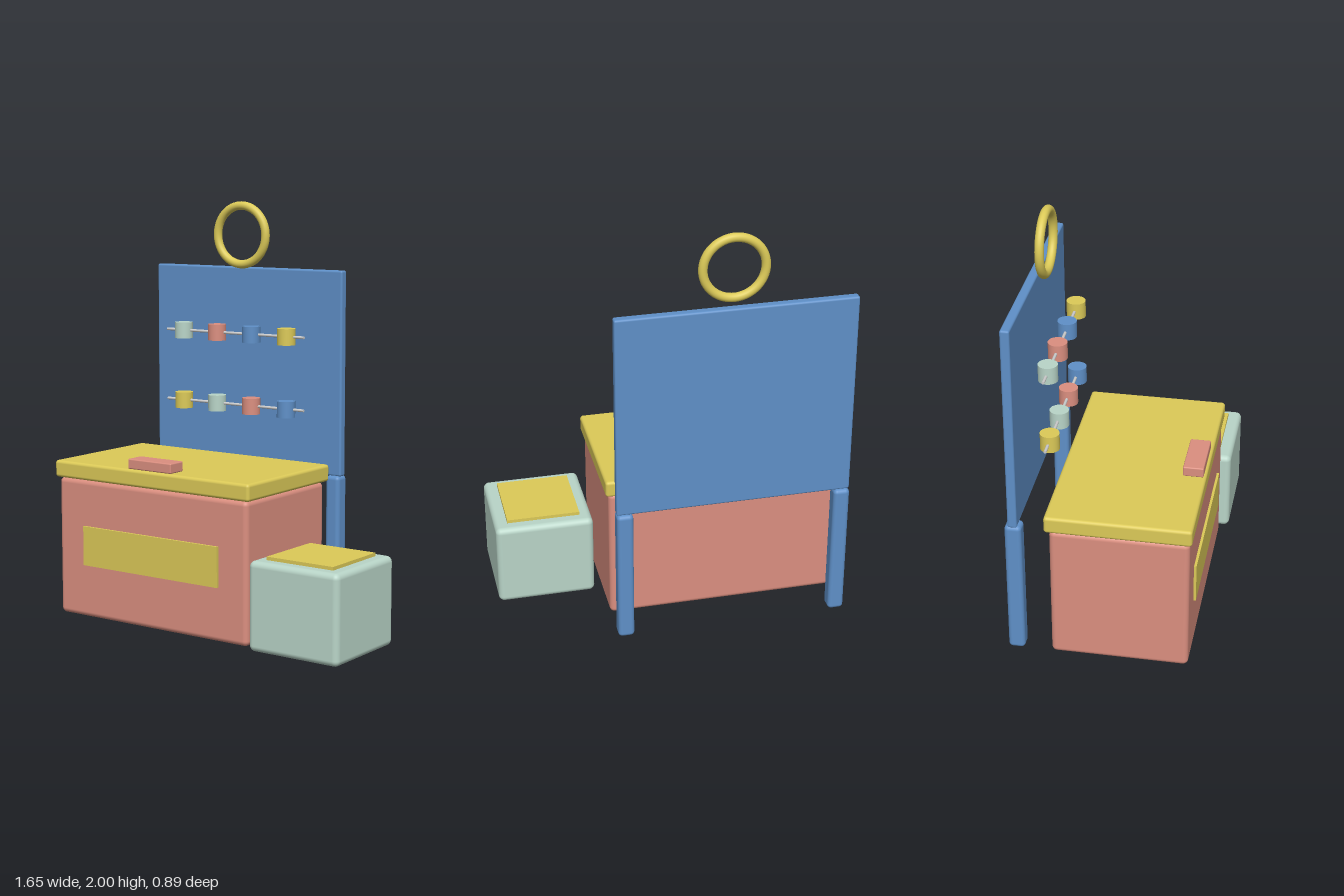
import * as THREE from 'three';
import { RoundedBoxGeometry } from 'three/addons/geometries/RoundedBoxGeometry.js';

const material = (color) => new THREE.MeshStandardMaterial({ color });
const coral = material(0xdb8f80);
const yellow = material(0xdcca58);
const blue = material(0x5f90c8);
const mint = material(0xb9d5c8);
const grey = material(0xcccccc);

export function createModel() {
  const model = new THREE.Group();
  model.name = 'playSet';

  function add(name, geometry, mat, x, y, z, parent = model) {
    const mesh = new THREE.Mesh(geometry, mat);
    mesh.name = name;
    mesh.position.set(x, y, z);
    parent.add(mesh);
    return mesh;
  }

  // Box given by its extents; rounded when a radius is given
  function box(name, mat, [x0, x1], [y0, y1], [z0, z1], radius = 0) {
    const size = [x1 - x0, y1 - y0, z1 - z0];
    const geometry = radius
      ? new RoundedBoxGeometry(...size, 4, radius)
      : new THREE.BoxGeometry(...size);
    return add(name, geometry, mat, (x0 + x1) / 2, (y0 + y1) / 2, (z0 + z1) / 2);
  }

  // Chest with lid, lid handle and front panel
  box('chest', coral, [-0.813, 0.308], [0, 0.675], [-0.24, 0.4], 0.025);
  box('lid', yellow, [-0.828, 0.325], [0.675, 0.757], [-0.26, 0.412], 0.015);
  box('lidHandle', coral, [-0.38, -0.125], [0.757, 0.805], [0.303, 0.4], 0.006);
  box('frontPanel', yellow, [-0.652, 0.149], [0.258, 0.45], [0.39, 0.412]);

  // Stool with seat pad
  box('stool', mint, [0.345, 0.823], [0, 0.418], [-0.033, 0.445], 0.028);
  box('seatPad', yellow, [0.405, 0.76], [0.41, 0.434], [0.027, 0.382]);

  // Back board on two legs
  box('backBoard', blue, [-0.813, 0.308], [0.675, 1.675], [-0.428, -0.384], 0.01);
  box('rightLeg', blue, [-0.813, -0.735], [0, 0.678], [-0.445, -0.367], 0.02);
  box('leftLeg', blue, [0.23, 0.308], [0, 0.678], [-0.445, -0.367], 0.02);

  // Two rods, each carrying four beads
  const rodGeometry = new THREE.CylinderGeometry(0.007, 0.007, 0.83, 16);
  const beadGeometry = new THREE.CylinderGeometry(0.045, 0.045, 0.08, 32);
  const rows = [
    { y: 1.354, beads: [mint, coral, blue, yellow] },
    { y: 1.0, beads: [yellow, mint, coral, blue] },
  ];
  for (const { y, beads } of rows) {
    const row = new THREE.Group();
    row.name = 'beadRow';
    row.position.set(-0.252, y, -0.278);
    model.add(row);
    add('rod', rodGeometry, grey, 0, 0, 0, row).rotation.z = Math.PI / 2;
    beads.forEach((mat, i) => add('bead', beadGeometry, mat, (i - 1.5) * 0.208, 0, 0, row));
  }

  // Ring standing above the board
  add('ring', new THREE.TorusGeometry(0.144, 0.021, 20, 64), yellow, -0.252, 1.835, -0.342);

  return model;
}
